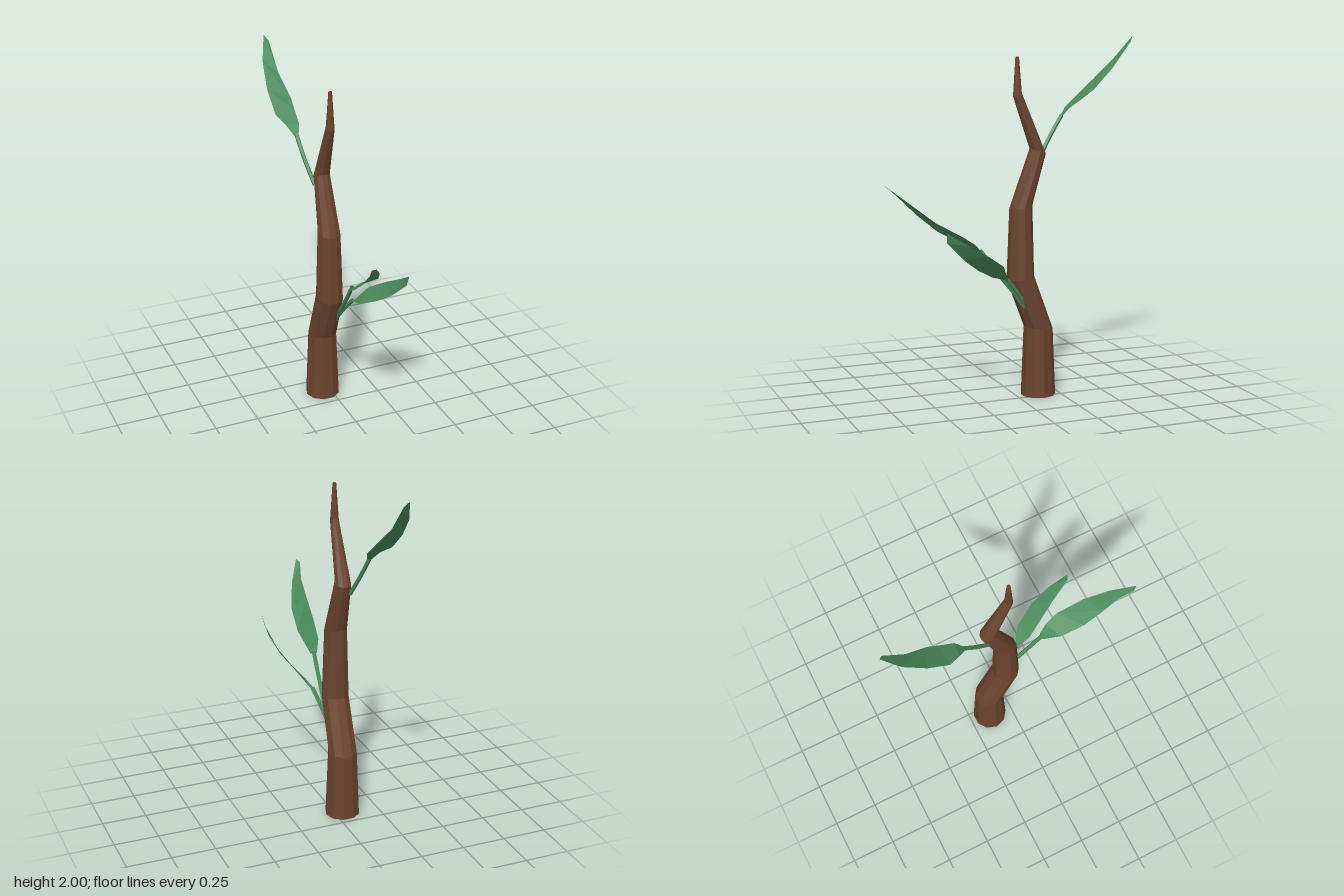
import * as THREE from 'three';

const bark = new THREE.MeshStandardMaterial({ color: 0x6b442e, flatShading: true, side: THREE.DoubleSide });
const green = new THREE.MeshStandardMaterial({ color: 0x4a8a5c, flatShading: true, side: THREE.DoubleSide });

// Skin a list of equally long cross-sections (arrays of [x, y, z])
function loft(sections, closed) {
  const n = sections[0].length, index = [];
  const quads = closed ? n : n - 1;
  for (let i = 0; i < sections.length - 1; i++) {
    for (let j = 0; j < quads; j++) {
      const a = i * n + j, b = i * n + (j + 1) % n;
      index.push(a, a + n, b, b, a + n, b + n);
    }
  }
  const geo = new THREE.BufferGeometry();
  geo.setAttribute('position', new THREE.Float32BufferAttribute(sections.flat(2), 3));
  geo.setIndex(index);
  geo.computeVertexNormals();
  return geo;
}

function add(parent, name, geo, mat) {
  const mesh = new THREE.Mesh(geo, mat);
  mesh.name = name;
  parent.add(mesh);
  return mesh;
}

// Ten-sided trunk ring: height, z of centre, radius, rise of the front edge
function ring([y, z, r, tilt]) {
  return Array.from({ length: 10 }, (_, i) => {
    const a = i / 10 * Math.PI * 2;
    return [-0.046 + r * Math.cos(a), y + tilt * Math.sin(a), z + r * Math.sin(a)];
  });
}

// Each leaf: stem path, then left and right edge points of the blade
const leaves = [
  {
    name: 'upperLeaf',
    stem: [[-0.08, 1.32, -0.14], [-0.108, 1.45, -0.22], [-0.122, 1.57, -0.30]],
    blade: [
      [[-0.135, 1.56, -0.295], [-0.11, 1.56, -0.295]],
      [[-0.165, 1.61, -0.34], [-0.09, 1.61, -0.335]],
      [[-0.20, 1.655, -0.41], [-0.085, 1.66, -0.41]],
      [[-0.20, 1.76, -0.53], [-0.08, 1.71, -0.48]],
      [[-0.178, 1.88, -0.65], [-0.105, 1.82, -0.60]],
      [[-0.135, 2.0, -0.74], [-0.113, 1.97, -0.72]],
    ],
  },
  {
    name: 'frontLeaf',
    stem: [[0, 0.52, -0.03], [-0.005, 0.61, 0.035], [-0.01, 0.72, 0.125], [-0.017, 0.855, 0.225]],
    blade: [
      [[-0.035, 0.845, 0.22], [0.003, 0.845, 0.22]],
      [[-0.08, 0.89, 0.31], [0.022, 0.895, 0.265]],
      [[-0.102, 0.96, 0.44], [0.035, 0.945, 0.34]],
      [[-0.105, 1.06, 0.56], [0.015, 1.03, 0.49]],
      [[-0.105, 1.14, 0.64], [-0.04, 1.135, 0.62]],
      [[-0.128, 1.215, 0.715], [-0.113, 1.23, 0.74]],
    ],
  },
  {
    name: 'sideLeaf',
    stem: [[0, 0.53, -0.03], [0.025, 0.62, 0.03], [0.043, 0.695, 0.095]],
    blade: [
      [[0.035, 0.69, 0.09], [0.053, 0.69, 0.09]],
      [[0.05, 0.715, 0.18], [0.12, 0.785, 0.14]],
      [[0.10, 0.77, 0.28], [0.175, 0.86, 0.25]],
      [[0.145, 0.84, 0.375], [0.20, 0.93, 0.37]],
      [[0.182, 0.95, 0.485], [0.195, 1.005, 0.49]],
    ],
  },
];

export function createModel() {
  const model = new THREE.Group();

  // Crooked, tapering trunk, open at the foot
  const rings = [
    [0, -0.13, 0.0975, 0], [0.39, -0.13, 0.082, 0.01], [0.68, -0.022, 0.077, -0.01],
    [1.08, -0.025, 0.064, -0.01], [1.385, -0.125, 0.045, 0.015],
    [1.70, -0.005, 0.024, -0.01], [1.905, -0.004, 0.01, 0],
  ].map(ring);
  // Close the tip by collapsing a last ring to its centre
  rings.push(Array.from({ length: 10 }, () => [-0.046, 1.905, -0.004]));
  add(model, 'trunk', loft(rings, true), bark);

  // Leaves with thin five-sided stems
  for (const { name, stem, blade } of leaves) {
    const leaf = new THREE.Group();
    leaf.name = name;
    const path = new THREE.CatmullRomCurve3(stem.map((p) => new THREE.Vector3(...p)));
    add(leaf, 'stem', new THREE.TubeGeometry(path, 4, 0.012, 5), green);
    add(leaf, 'blade', loft(blade, false), green);
    model.add(leaf);
  }
  return model;
}
